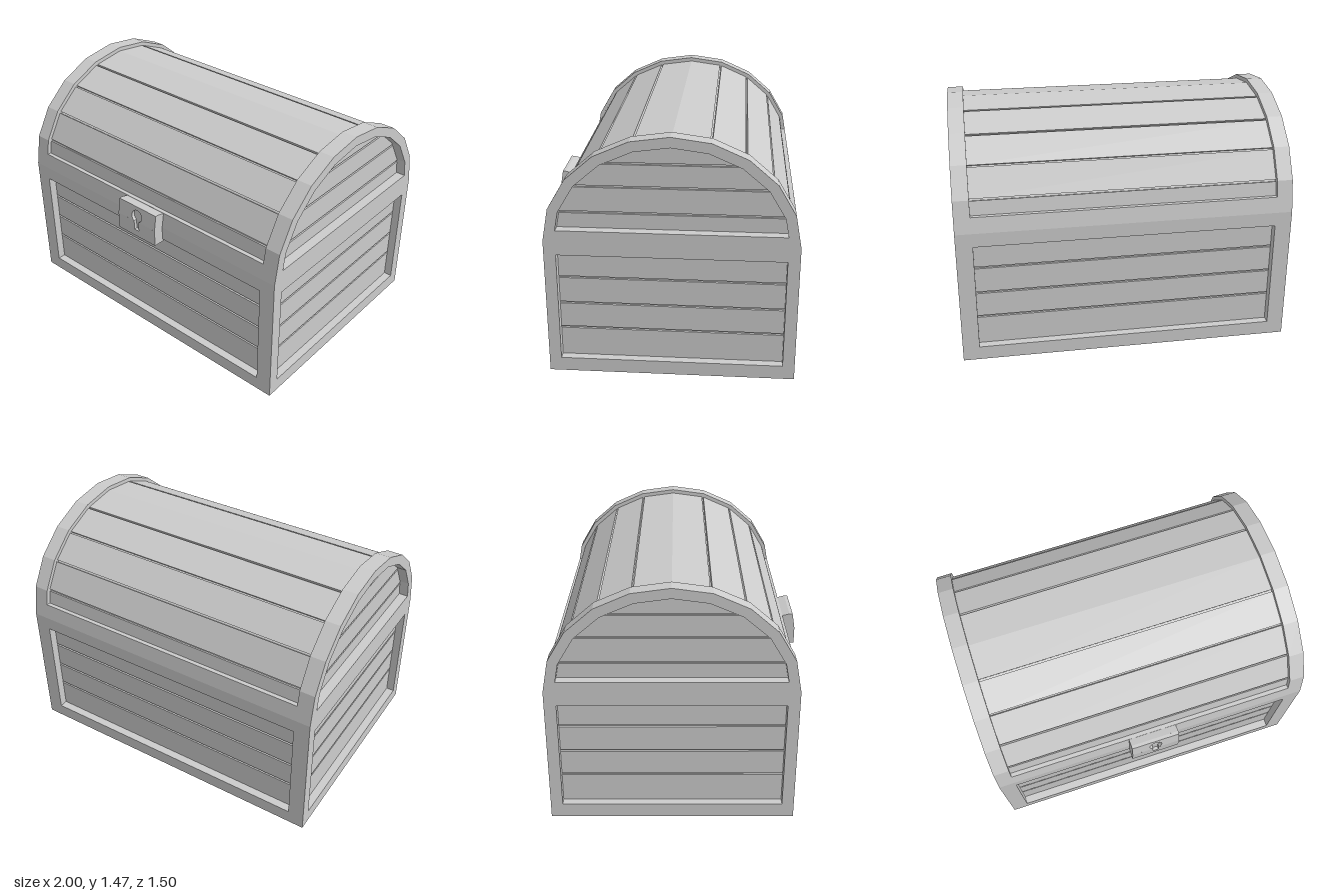
import * as THREE from 'three';

const gray = new THREE.MeshStandardMaterial({ color: 0xcccccc });
gray.name = 'plain gray';

const ZC = -0.03;    // chest body centre in z
const SEAM = 0.84;   // height where lid meets body
const GAP = 0.012;   // plank groove width
const ring = (rx, ry, i) => [rx * Math.cos(i * Math.PI / 10), SEAM + ry * Math.sin(i * Math.PI / 10)];

// Slice of a ten-sided half ellipse between two heights, as [u, y] points
function slice(rx, ry, y0, y1) {
  const pts = [0, 1, 2, 3, 4, 5].map(i => ring(rx, ry, i));
  const at = y => {
    for (let i = 0; i < 5; i++) {
      const [a, b] = [pts[i], pts[i + 1]];
      if (y <= b[1]) return [a[0] + (b[0] - a[0]) * (y - a[1]) / (b[1] - a[1]), y];
    }
    return pts[5];
  };
  const right = [at(y0), ...pts.filter(p => p[1] > y0 + 1e-4 && p[1] < y1 - 1e-4), at(y1)];
  const left = right.filter(p => p[0] > 1e-4).map(([u, y]) => [-u, y]).reverse();
  return [...right, ...left];
}

const toShape = pts => new THREE.Shape(pts.map(p => new THREE.Vector2(...p)));
const extrude = (shape, depth) =>
  new THREE.ExtrudeGeometry(shape, { depth, bevelEnabled: false, curveSegments: 8 });

function add(parent, name, geometry) {
  const mesh = new THREE.Mesh(geometry, gray);
  mesh.name = name;
  parent.add(mesh);
  return mesh;
}

// Extrude a [z, y] profile along x from x0 to x1
const alongX = (shape, x0, x1) => extrude(shape, x1 - x0).rotateY(Math.PI / 2).translate(x0, 0, 0);

// Rectangular frame with a rectangular opening
function frame(halfW, halfOpen, depth) {
  const s = toShape([[-halfW, 0], [halfW, 0], [halfW, SEAM], [-halfW, SEAM]]);
  s.holes.push(toShape([[-halfOpen, 0.085], [-halfOpen, 0.755], [halfOpen, 0.755], [halfOpen, 0.085]]));
  return extrude(s, depth);
}

function buildBody() {
  const body = new THREE.Group();
  body.name = 'body';
  const D = 0.05;
  for (const r of [0, Math.PI]) {
    add(body, r ? 'backFrame' : 'frontFrame', frame(1, 0.9, D).translate(0, 0, 0.72 - D).rotateY(r));
    add(body, r ? 'rightFrame' : 'leftFrame',
      frame(0.72 - D, 0.65, D).translate(0, 0, 1 - D).rotateY(r + Math.PI / 2));
  }
  // solid core behind the plank grooves
  add(body, 'core', new THREE.BoxGeometry(1.874, SEAM, 1.314).translate(0, SEAM / 2, 0));
  add(body, 'bottom', new THREE.BoxGeometry(1.9, 0.08, 1.34).translate(0, 0.04, 0));
  const cuts = [0.07, 0.267, 0.429, 0.595, 0.78];
  for (let i = 0; i < 4; i++) {
    const y0 = cuts[i] + GAP / 2, y1 = cuts[i + 1] - GAP / 2;
    add(body, 'bodyPlank', new THREE.BoxGeometry(1.9, y1 - y0, 1.34).translate(0, (y0 + y1) / 2, 0));
  }
  return body;
}

function buildLid() {
  const lid = new THREE.Group();
  lid.name = 'lid';
  // end arches with open centres
  for (const x of [-1, 0.905]) {
    const arch = toShape(slice(0.72, 0.625, SEAM, 1.465));
    arch.holes.push(toShape(slice(0.66, 0.565, 0.905, 1.405)));
    add(lid, 'arch', alongX(arch, x, x + 0.095));
  }
  // rails along the lower edge, front and back
  add(lid, 'lowerRails', alongX(toShape(slice(0.72, 0.625, SEAM, 0.935)), -0.905, 0.905));
  add(lid, 'lidCore', alongX(toShape(slice(0.68, 0.585, SEAM, 1.425)), -0.93, 0.93));
  // curved row of top planks, one per facet, joined at the crown
  for (let i = 0; i < 10; i++) {
    const a = ring(0.695, 0.6, i), b = ring(0.695, 0.6, i + 1);
    const c = ring(0.675, 0.58, i + 1), d = ring(0.675, 0.58, i);
    const t = GAP / 2 / Math.hypot(b[0] - a[0], b[1] - a[1]);
    const mix = (p, q, k) => [p[0] + (q[0] - p[0]) * k, p[1] + (q[1] - p[1]) * k];
    const t0 = i === 5 ? 0 : t, t1 = i === 4 ? 1 : 1 - t;
    add(lid, 'lidPlank', alongX(toShape([mix(a, b, t0), mix(a, b, t1), mix(d, c, t1), mix(d, c, t0)]), -0.905, 0.905));
  }
  // horizontal planks filling each arch
  const cuts = [0.88, 0.998, 1.153, 1.29, 1.42];
  for (const x of [-0.942, 0.928]) {
    for (let i = 0; i < 4; i++) {
      const top = i === 3 ? 1.415 : cuts[i + 1] - GAP / 2;
      add(lid, 'endPlank', alongX(toShape(slice(0.67, 0.575, cuts[i] + GAP / 2, top)), x, x + 0.014));
    }
  }
  return lid;
}

function buildLock() {
  const lock = new THREE.Group();
  lock.name = 'lock';
  const W = 0.153, S = 0.018, BEND = 0.847, TOP = 0.945, FACE = 0.755, IN = 0.02;
  // lean the upper half back with the lid
  const lean = g => {
    const p = g.attributes.position;
    for (let i = 0; i < p.count; i++) p.setZ(i, p.getZ(i) - Math.max(0, p.getY(i) - BEND) * 0.17);
    g.computeVertexNormals();
    return g;
  };
  const lower = toShape([[-W, 0.74], [W, 0.74], [W, BEND], [S, BEND], [S, 0.785], [-S, 0.785], [-S, BEND], [-W, BEND]]);
  add(lock, 'lockLowerFace', extrude(lower, IN).translate(0, 0, FACE - IN));

  // round part of the keyhole cut into the upper half
  const arc = [];
  const start = Math.atan2(BEND - 0.882, -S) + 2 * Math.PI, end = Math.atan2(BEND - 0.882, S);
  for (let i = 0; i <= 16; i++) {
    const a = start + (end - start) * i / 16;
    arc.push([0.04 * Math.cos(a), 0.882 + 0.04 * Math.sin(a)]);
  }
  const upper = toShape([[-W, BEND], ...arc, [W, BEND], [W, TOP], [-W, TOP]]);
  add(lock, 'lockUpperFace', lean(extrude(upper, IN).translate(0, 0, FACE - IN)));

  // solid backing behind the keyhole
  const back = toShape([[-0.66, 0.74], [-(FACE - IN), 0.74], [-(FACE - IN), BEND],
    [-(FACE - IN - 0.0167), TOP], [-0.65, 0.927]]);
  add(lock, 'lockBacking', alongX(back, -W, W));
  return lock;
}

export function createModel() {
  const chest = new THREE.Group();
  chest.name = 'chest';
  const body = buildBody(), lid = buildLid();
  body.position.z = lid.position.z = ZC;
  chest.add(body, lid, buildLock());
  return chest;
}
